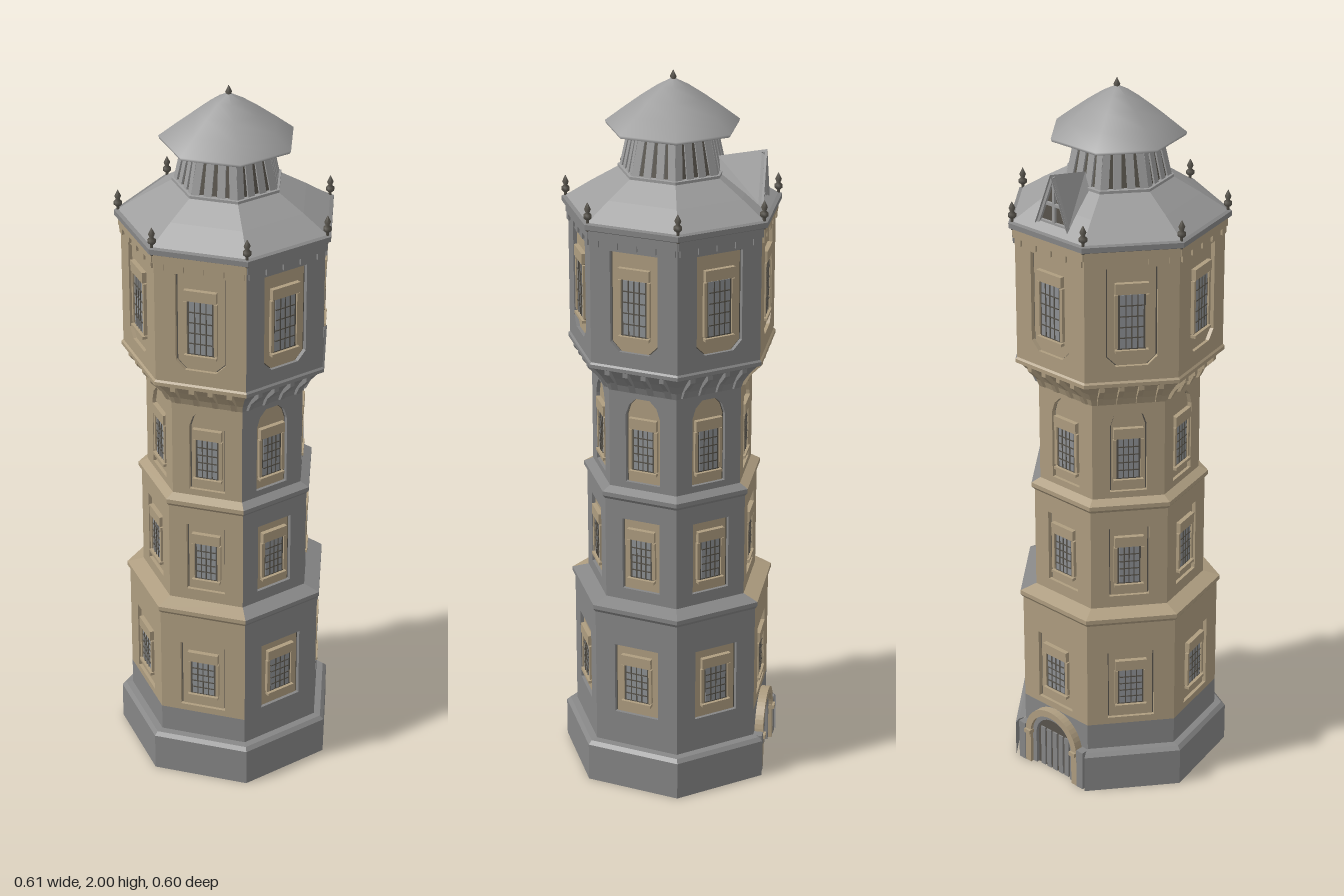
import * as THREE from 'three';

const N = 7, STEP = (Math.PI * 2) / N, APO = Math.cos(STEP / 2);
const flat = (name, color, side = THREE.FrontSide) => {
  const m = new THREE.MeshStandardMaterial({ color, side });
  m.name = name;
  return m;
};

export function createModel() {
  const stone = flat('grey stone', 0x868686, THREE.DoubleSide);
  const tan = flat('tan plaster', 0xae9d80, THREE.DoubleSide);
  const roof = flat('roof metal', 0x9d9d9d, THREE.DoubleSide);
  const dark = flat('dark frame', 0x58544c);
  const glass = flat('window glass', 0x8e9194);

  const tower = new THREE.Group();
  tower.name = 'waterTower';
  tower.position.z = -0.015;

  const add = (parent, name, geo, mat, x = 0, y = 0, z = 0) => {
    const m = new THREE.Mesh(geo, mat);
    m.name = name;
    m.position.set(x, y, z);
    parent.add(m);
    return m;
  };
  const box = (parent, name, mat, w, h, d, x, y, z) =>
    add(parent, name, new THREE.BoxGeometry(w, h, d), mat, x, y, z);

  // Faceted strip over one or more sides, from a [radius, y] profile
  const band = (name, profile, faces, mat) => {
    const pos = [];
    for (const f of faces) {
      const at = (k, [r, y]) => [r * Math.sin(k * STEP), y, r * Math.cos(k * STEP)];
      for (let i = 0; i < profile.length - 1; i++) {
        const a = at(f, profile[i]), b = at(f + 1, profile[i]);
        const c = at(f + 1, profile[i + 1]), d = at(f, profile[i + 1]);
        pos.push(...a, ...b, ...c, ...a, ...c, ...d);
      }
    }
    const g = new THREE.BufferGeometry();
    g.setAttribute('position', new THREE.Float32BufferAttribute(pos, 3));
    g.computeVertexNormals();
    return add(tower, name, g, mat);
  };

  const poly = (pts) => new THREE.Shape(pts.map((p) => new THREE.Vector2(...p)));
  const extrude = (shape, depth) =>
    new THREE.ExtrudeGeometry(shape, { depth, bevelEnabled: false, curveSegments: 12 });

  // Outline of a window panel: plain, arched at the top or cut at the lower corners
  const outline = (style, w, y0, y1) => {
    const h = w / 2, c = 0.025;
    if (style === 'chamfer')
      return poly([[-h + c, y0], [h - c, y0], [h, y0 + c], [h, y1], [-h, y1], [-h, y0 + c]]);
    if (style === 'arch')
      return poly([[-h, y0], [h, y0], [h, y1 - 0.05], [h * 0.8, y1 - 0.02], [h * 0.4, y1],
        [-h * 0.4, y1], [-h * 0.8, y1 - 0.02], [-h, y1 - 0.05]]);
    return poly([[-h, y0], [h, y0], [h, y1], [-h, y1]]);
  };

  // Grid window with surround, lintel and sill
  const addWindow = (side, z, w, y0, y1) => {
    const h = y1 - y0, cy = (y0 + y1) / 2;
    box(side, 'windowFrame', dark, w + 0.014, h + 0.014, 0.006, 0, cy, z);
    box(side, 'windowGlass', glass, w, h, 0.006, 0, cy, z + 0.002);
    for (let i = 1; i < 4; i++)
      box(side, 'mullion', dark, 0.003, h, 0.004, -w / 2 + (i * w) / 4, cy, z + 0.005);
    for (let i = 1; i < 5; i++)
      box(side, 'glazingBar', dark, w, 0.003, 0.004, 0, y0 + (i * h) / 5, z + 0.005);
    box(side, 'lintel', tan, w + 0.026, 0.03, 0.014, 0, y1 + 0.018, z + 0.004);
    box(side, 'sill', tan, w + 0.026, 0.008, 0.016, 0, y0 - 0.008, z + 0.004);
    for (const s of [-1, 1])
      box(side, 'jamb', tan, 0.009, h, 0.01, s * (w / 2 + 0.01), cy, z + 0.003);
  };

  const storeys = [
    { r: 0.282, y: [0.2, 0.535], w: 0.13, p: [0.22, 0.43], style: 'rect', pane: [0.062, 0.265, 0.37] },
    { r: 0.243, y: [0.535, 0.865], w: 0.11, p: [0.59, 0.8], style: 'rect', pane: [0.054, 0.63, 0.74] },
    { r: 0.226, y: [0.865, 1.18], w: 0.1, p: [0.905, 1.15], style: 'arch', pane: [0.054, 0.945, 1.06] },
    { r: 0.286, y: [1.245, 1.625], w: 0.135, p: [1.3, 1.575], style: 'chamfer', pane: [0.062, 1.35, 1.5] },
  ];

  for (let f = 0; f < N; f++) {
    const wall = f < 3 ? stone : tan;
    const side = new THREE.Group();
    side.name = 'towerSide';
    side.rotation.y = (f + 0.5) * STEP;
    tower.add(side);

    // Walls pierced by recessed window panels
    for (const s of storeys) {
      const half = s.r * Math.sin(STEP / 2), z = s.r * APO;
      const shape = poly([[-half, s.y[0]], [half, s.y[0]], [half, s.y[1]], [-half, s.y[1]]]);
      shape.holes.push(outline(s.style, s.w, ...s.p));
      add(side, 'wall', extrude(shape, 0.014), wall, 0, 0, z - 0.014);
      add(side, 'windowPanel', new THREE.ShapeGeometry(outline(s.style, s.w - 0.008, ...s.p)), tan, 0, 0, z - 0.009);
      add(side, 'panelReveal', new THREE.ShapeGeometry(outline(s.style, s.w + 0.006, ...s.p)), dark, 0, 0, z - 0.0115);
      addWindow(side, z - 0.007, ...s.pane);
    }

    // Cornices and the flare below the top storey
    band('lowerCornice', [[0.282, 0.52], [0.29, 0.53], [0.29, 0.542], [0.243, 0.556]], [f], wall);
    band('middleCornice', [[0.243, 0.852], [0.252, 0.862], [0.252, 0.874], [0.226, 0.886]], [f], wall);
    band('flare', [[0.226, 1.165], [0.234, 1.185], [0.252, 1.21], [0.275, 1.235], [0.291, 1.243],
      [0.291, 1.253], [0.286, 1.258]], [f], wall);

    // Corbels
    const corbel = extrude(poly([[0, 1.165], [0.012, 1.17], [0.024, 1.195], [0.056, 1.228], [0.056, 1.243], [0, 1.243]]), 0.014);
    for (const x of [-0.078, -0.026, 0.026, 0.078]) {
      const c = add(side, 'corbel', corbel, wall, x + 0.007, 0, 0.224 * APO);
      c.rotation.y = -Math.PI / 2;
    }

    // Toothed frieze under the eaves
    box(side, 'frieze', wall, 0.252, 0.025, 0.014, 0, 1.613, 0.286 * APO);
    for (let i = -2; i <= 2; i++)
      box(side, 'friezeTooth', wall, 0.022, 0.022, 0.012, i * 0.054, 1.593, 0.286 * APO);
  }

  const all = [...Array(N).keys()];
  // Plinth, left open at the back for the doorway
  band('plinth', [[0.313, 0], [0.313, 0.11], [0.302, 0.12], [0.282, 0.122]], all.filter((f) => f !== 3), stone);
  band('plinthWall', [[0.282, 0], [0.282, 0.2]], all, stone);

  // Arched doorway
  const door = new THREE.Group();
  door.name = 'doorway';
  door.rotation.y = Math.PI;
  door.position.z = -0.282 * APO;
  tower.add(door);
  const archShape = (r, spring) => {
    const s = new THREE.Shape();
    s.moveTo(-r, 0);
    s.lineTo(r, 0);
    s.lineTo(r, spring);
    s.absarc(0, spring, r, 0, Math.PI, false);
    s.lineTo(-r, 0);
    return s;
  };
  const archRing = (name, ro, ri, depth, mat) => {
    const s = new THREE.Shape();
    s.moveTo(ri, 0);
    s.lineTo(ro, 0);
    s.lineTo(ro, 0.1);
    s.absarc(0, 0.1, ro, 0, Math.PI, false);
    s.lineTo(-ro, 0);
    s.lineTo(-ri, 0);
    s.lineTo(-ri, 0.1);
    s.absarc(0, 0.1, ri, Math.PI, 0, true);
    s.lineTo(ri, 0);
    add(door, name, extrude(s, depth), mat);
  };
  archRing('doorArch', 0.1, 0.08, 0.024, tan);
  archRing('innerArch', 0.08, 0.066, 0.014, stone);
  add(door, 'doorLeaf', extrude(archShape(0.066, 0.1), 0.004), dark);
  for (let i = -2; i <= 2; i++)
    box(door, 'doorPlank', stone, 0.016, 0.125, 0.006, i * 0.023, 0.0625, 0.005);
  for (const s of [-1, 1]) {
    box(door, 'doorPier', stone, 0.024, 0.12, 0.026, s * 0.113, 0.06, 0.012);
    box(door, 'doorPost', tan, 0.022, 0.012, 0.032, s * 0.088, 0.102, 0.015);
  }

  // Eaves and main roof
  band('eaves', [[0.286, 1.62], [0.303, 1.628], [0.303, 1.642], [0.292, 1.645]], all, stone);
  band('mainRoof', [[0.295, 1.643], [0.222, 1.69], [0.146, 1.735]], all, roof);

  // Lantern with slats
  band('lantern', [[0.142, 1.725], [0.112, 1.855]], all, dark);
  for (let f = 0; f < N; f++) {
    const g = new THREE.Group();
    g.name = 'lanternSide';
    g.rotation.y = (f + 0.5) * STEP;
    tower.add(g);
    for (const t of [-0.86, -0.3, 0.3, 0.86]) {
      const slat = box(g, 'slat', roof, 0.021, 0.134, 0.008, t * 0.055, 1.79, 0.128 * APO);
      slat.rotation.set(-0.205, 0, t * 0.1);
    }
  }
  band('lanternSill', [[0.15, 1.728], [0.15, 1.74], [0.138, 1.742]], all, roof);

  // Cap roof, smoothly rounded over seven sides
  const cap = [[0.11, 1.85], [0.18, 1.848], [0.183, 1.856], [0.135, 1.893], [0.085, 1.93], [0.04, 1.96], [0.001, 1.98]];
  add(tower, 'capUnderside', new THREE.LatheGeometry(cap.slice(0, 2).map((p) => new THREE.Vector2(...p)), N), roof);
  add(tower, 'capRoof', new THREE.LatheGeometry(cap.slice(1).map((p) => new THREE.Vector2(...p)), N), roof);

  // Finials on the corners and the cap
  const finialPts = [[0.004, 0], [0.004, 0.03], [0.011, 0.036], [0.011, 0.045], [0.005, 0.05], [0.009, 0.06], [0.0005, 0.078]];
  const finial = new THREE.LatheGeometry(finialPts.map((p) => new THREE.Vector2(...p)), 8);
  for (let k = 0; k < N; k++)
    add(tower, 'cornerFinial', finial, dark, 0.292 * Math.sin(k * STEP), 1.622, 0.292 * Math.cos(k * STEP));
  add(tower, 'topFinial', finial, dark, 0, 1.922, 0);

  // Steep dormer at the back
  const dormer = new THREE.Group();
  dormer.name = 'dormer';
  dormer.rotation.y = Math.PI;
  tower.add(dormer);
  const slope = (s) => {
    const g = new THREE.BufferGeometry();
    const p = [[0, 1.775, 0.12], [0, 1.8, 0.25], [s * 0.058, 1.655, 0.25], [s * 0.045, 1.71, 0.12]];
    g.setAttribute('position', new THREE.Float32BufferAttribute([0, 1, 2, 0, 2, 3].flatMap((i) => p[i]), 3));
    g.computeVertexNormals();
    return g;
  };
  for (const s of [-1, 1]) {
    add(dormer, 'dormerRoof', slope(s), roof);
    const bar = box(dormer, 'gableRafter', roof, 0.008, 0.15, 0.008, s * 0.026, 1.724, 0.24);
    bar.rotation.z = s * 0.38;
  }
  add(dormer, 'gable', new THREE.ShapeGeometry(poly([[-0.054, 1.655], [0.054, 1.655], [0, 1.79]])), dark, 0, 0, 0.232);
  box(dormer, 'gablePost', roof, 0.008, 0.13, 0.008, 0, 1.72, 0.236);
  box(dormer, 'gableBeam', roof, 0.06, 0.008, 0.008, 0, 1.715, 0.236);
  box(dormer, 'gableBase', roof, 0.104, 0.01, 0.008, 0, 1.662, 0.236);

  const model = new THREE.Group();
  model.name = 'model';
  model.add(tower);
  return model;
}
